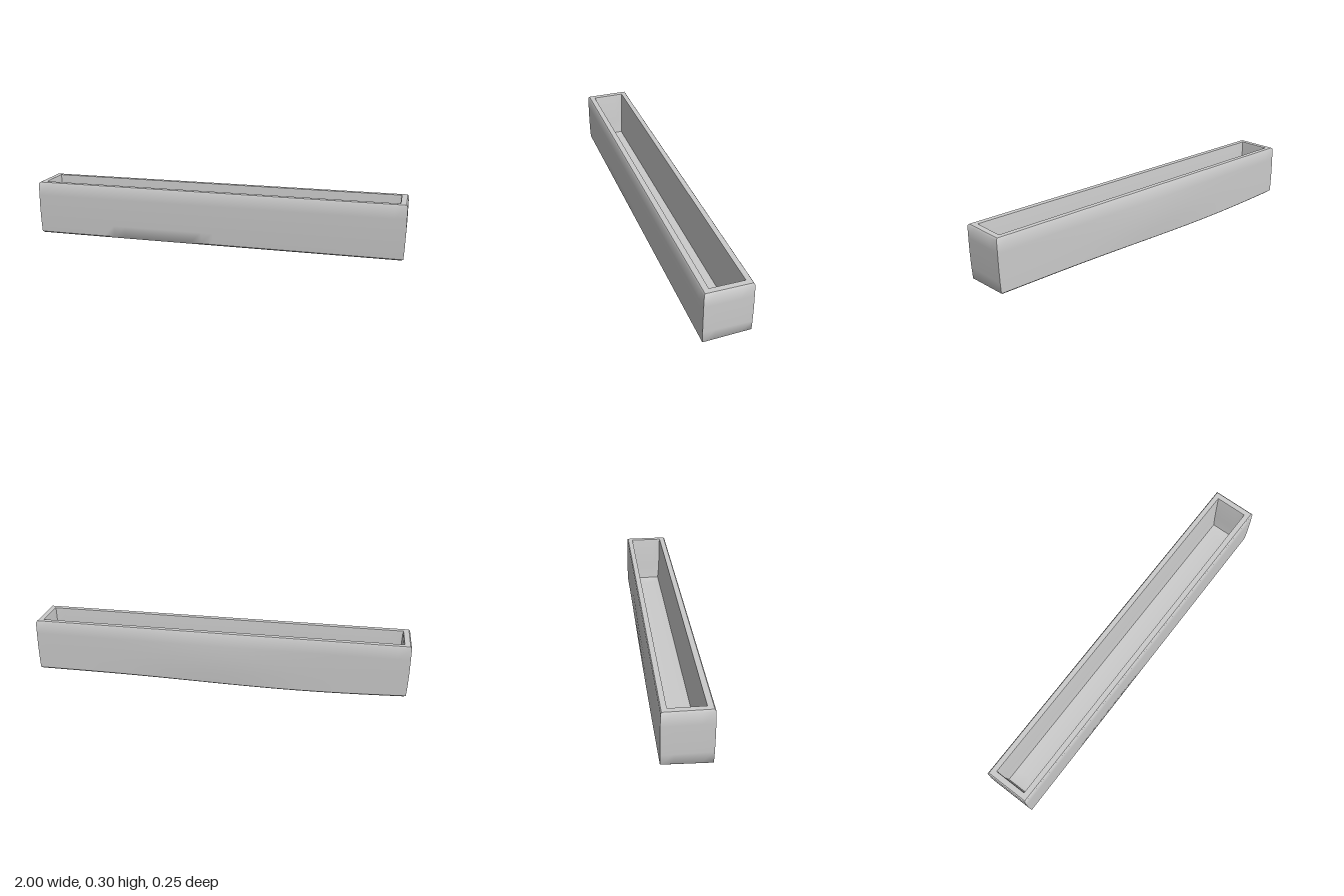
import * as THREE from 'three';
import { toCreasedNormals } from 'three/addons/utils/BufferGeometryUtils.js';

const LONG = 32, SHORT = 4;

// Points around a rectangle, starting at the front right corner
function ring(hx, front, back) {
  const points = [];
  const side = (x0, z0, x1, z1, n) => {
    for (let i = 0; i < n; i++) {
      points.push([x0 + (x1 - x0) * i / n, z0 + (z1 - z0) * i / n]);
    }
  };
  side(-hx, front, hx, front, LONG);
  side(hx, front, hx, back, SHORT);
  side(hx, back, -hx, back, LONG);
  side(-hx, back, -hx, front, SHORT);
  return points;
}

// Worn underside: the back edge dips in the left half and lifts at the ends
function undersideHeight(x, z) {
  const backness = (0.12 - z) / 0.24;
  const wave = 0.012 * x * x + 0.007 * Math.sin(x * 3.2) - 0.003;
  return 0.011 + backness * wave;
}

// Slight swelling of the long back wall around its middle
function backBulge(x, y) {
  return 0.007 * Math.exp(-x * x * 6) * Math.sin(Math.PI * Math.min(1, Math.max(0, y / 0.3)));
}

export function createModel() {
  const group = new THREE.Group();

  // Rings from the underside, up the outside, over the rim and down to the floor:
  // [half length, front z, back z, height]
  const profile = [
    [0.97, 0, 0, 0],
    [0.985, 0.112, -0.108, 0],
    [0.995, 0.122, -0.118, 0.008],
    [0.998, 0.124, -0.118, 0.08],
    [1.0, 0.125, -0.118, 0.16],
    [1.0, 0.125, -0.117, 0.23],
    [1.0, 0.124, -0.116, 0.294],
    [0.993, 0.118, -0.111, 0.302],
    [0.965, 0.09, -0.085, 0.302],
    [0.962, 0.088, -0.083, 0.29],
    [0.955, 0.083, -0.078, 0.12],
    [0.945, 0.075, -0.07, 0.045],
    [0.93, 0, 0, 0.04],
  ];

  const positions = [], index = [];
  const count = 2 * (LONG + SHORT);
  profile.forEach(([hx, front, back, height], row) => {
    for (const [x, z] of ring(hx, front, back)) {
      const y = row < 3 ? undersideHeight(x, z) + height : height;
      const swell = row > 1 && row < 7 && z === back ? backBulge(x, y) : 0;
      positions.push(x, y, z - swell);
    }
  });
  for (let r = 0; r < profile.length - 1; r++) {
    for (let i = 0; i < count; i++) {
      const a = r * count + i, b = r * count + (i + 1) % count;
      index.push(a, b, b + count, a, b + count, a + count);
    }
  }

  const geometry = new THREE.BufferGeometry();
  geometry.setAttribute('position', new THREE.Float32BufferAttribute(positions, 3));
  geometry.setIndex(index);

  const trough = new THREE.Mesh(
    toCreasedNormals(geometry, 0.85),
    new THREE.MeshStandardMaterial({ color: 0xcccccc })
  );
  trough.name = 'trough';
  group.add(trough);
  return group;
}
